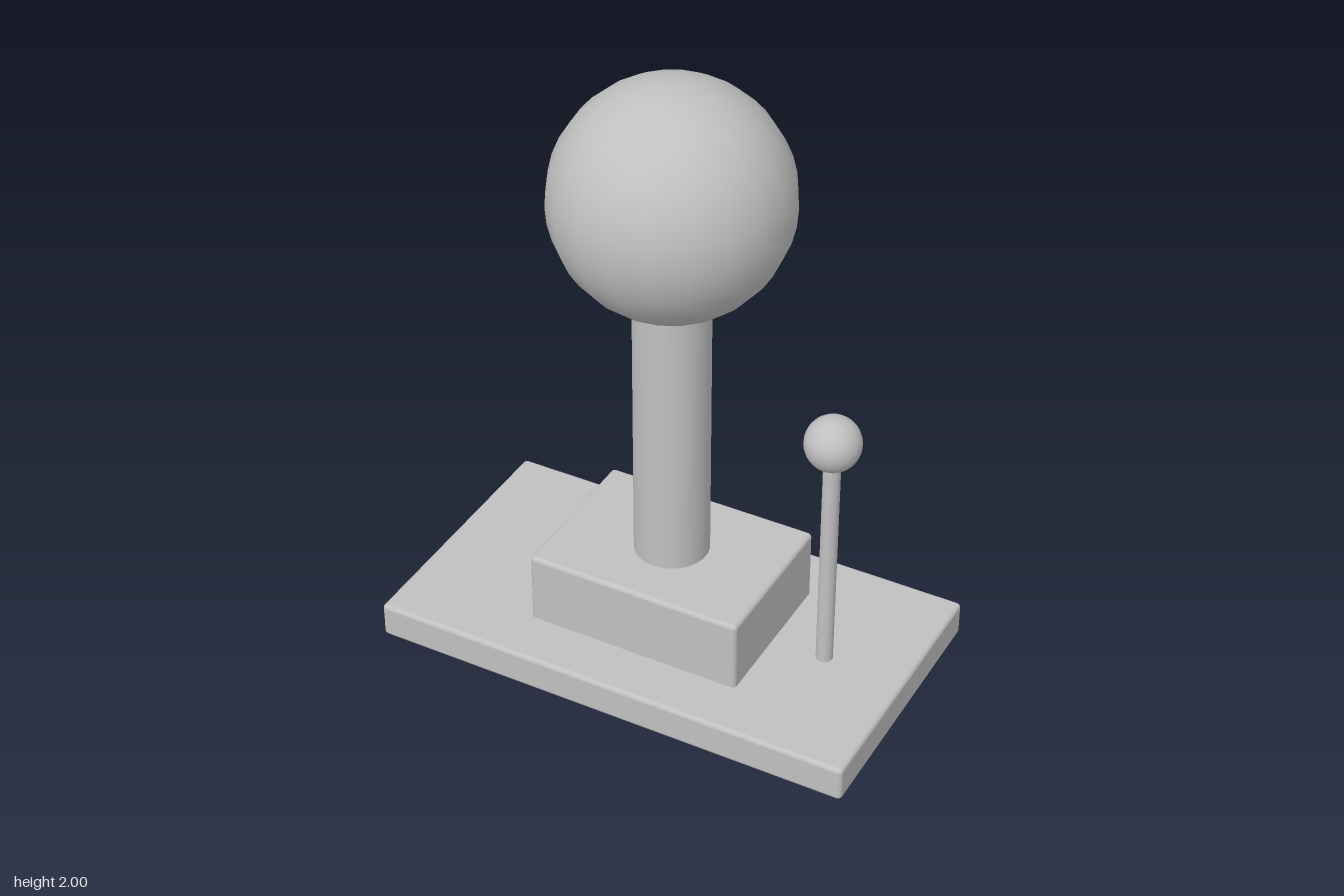
import * as THREE from 'three';
import { RoundedBoxGeometry } from 'three/addons/geometries/RoundedBoxGeometry.js';

export function createModel() {
  const model = new THREE.Group();
  model.name = 'leverStand';

  const grey = new THREE.MeshStandardMaterial({ color: 0xc0c0c0 });
  grey.name = 'plain grey';

  const add = (name, geometry, x, y) => {
    const mesh = new THREE.Mesh(geometry, grey);
    mesh.name = name;
    mesh.position.set(x, y, 0);
    model.add(mesh);
  };

  // Slab with softened edges, resting on the given height
  const slab = (name, w, h, d, bottom) =>
    add(name, new RoundedBoxGeometry(w, h, d, 3, 0.015), 0, bottom + h / 2);

  // Upright rod topped with a ball
  const knob = (name, x, bottom, rodRadius, ballRadius, ballY, sides, rings) => {
    const h = ballY - bottom;
    add(name + 'Rod', new THREE.CylinderGeometry(rodRadius, rodRadius, h, 32), x, bottom + h / 2);
    add(name + 'Ball', new THREE.SphereGeometry(ballRadius, sides, rings), x, ballY);
  };

  // Stepped base
  slab('basePlate', 1.62, 0.12, 0.89, 0.005);
  slab('plinth', 0.724, 0.26, 0.532, 0.105);

  // Main column and the slim side lever
  knob('column', 0, 0.35, 0.12, 0.368, 1.632, 20, 20);
  knob('lever', 0.538, 0.11, 0.027, 0.088, 0.947, 24, 16);

  return model;
}
